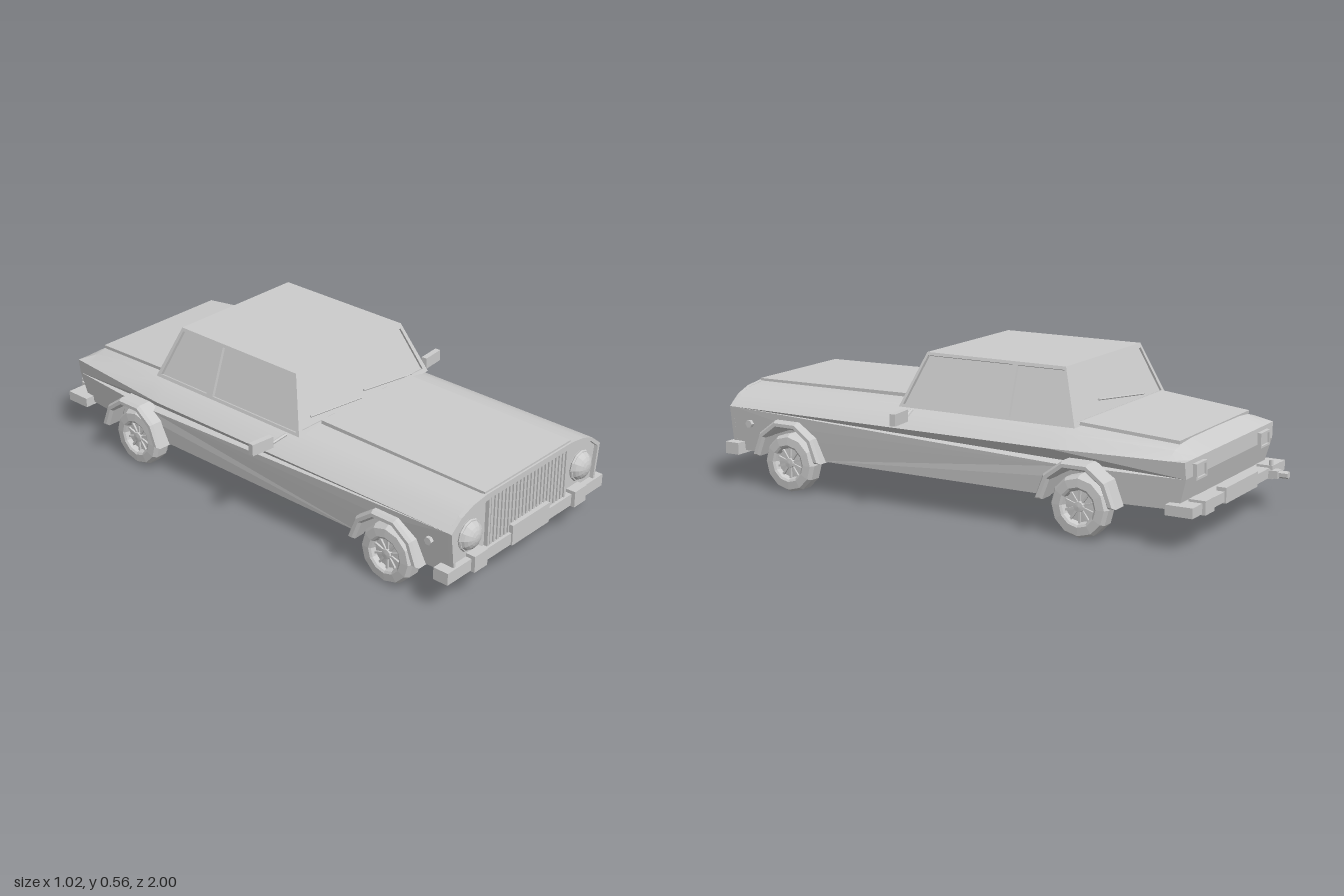
import * as THREE from 'three';
import { toCreasedNormals } from 'three/addons/utils/BufferGeometryUtils.js';

const mat = new THREE.MeshStandardMaterial({ color: 0xcccccc });
const flat = new THREE.MeshStandardMaterial({ color: 0xcccccc, flatShading: true });
const V = (x, y, z) => new THREE.Vector3(x, y, z);

export function createModel() {
  const car = new THREE.Group();
  car.name = 'car';

  const add = (name, geo, material = flat, parent = car) => {
    const m = new THREE.Mesh(geo, material);
    m.name = name;
    parent.add(m);
    return m;
  };
  const box = (name, x0, x1, y0, y1, z0, z1, parent = car) => {
    const m = add(name, new THREE.BoxGeometry(x1 - x0, y1 - y0, z1 - z0), flat, parent);
    m.position.set((x0 + x1) / 2, (y0 + y1) / 2, (z0 + z1) / 2);
    return m;
  };
  // thin bar between two points
  const bar = (name, a, b, r) => {
    const m = add(name, new THREE.CylinderGeometry(r, r, a.distanceTo(b), 6));
    m.position.copy(a).lerp(b, 0.5);
    m.quaternion.setFromUnitVectors(V(0, 1, 0), b.clone().sub(a).normalize());
  };
  const shapeOf = pts => new THREE.Shape(pts.map(p => new THREE.Vector2(p[0], p[1])));
  const trisToGeo = pts => {
    const g = new THREE.BufferGeometry().setFromPoints(pts);
    g.computeVertexNormals();
    return g;
  };

  const wheels = [{ z: 0.7, out: 0.442 }, { z: -0.52, out: 0.455 }];
  // half width of the body, narrowing towards the tail
  const halfWidth = z => z > -0.4 ? 0.418 : 0.418 - 0.045 * (-0.4 - z) / 0.48;
  // arch outline from front foot to rear foot
  const arch = (z, k = 1) => [[0.125, 0.13], [0.098, 0.2], [0.04, 0.243], [-0.04, 0.243], [-0.098, 0.2], [-0.125, 0.13]]
    .map(([a, y]) => [z + a * k, 0.13 + (y - 0.13) * k]);

  // lower body: side profile with wheel wells, tapered in width
  const lower = new THREE.ExtrudeGeometry(shapeOf([
    [0.957, 0.13], ...arch(0.7), ...arch(-0.52), [-0.86, 0.13], [-0.89, 0.24], [-0.888, 0.298],
    [-0.83, 0.298], [-0.4, 0.298], [0.957, 0.298]]), { depth: 2, bevelEnabled: false });
  lower.rotateY(-Math.PI / 2).translate(1, 0, 0);
  const lp = lower.attributes.position;
  for (let i = 0; i < lp.count; i++) {
    const taper = 0.022 * (0.298 - lp.getY(i)) / 0.168;
    lp.setX(i, lp.getX(i) * (halfWidth(lp.getZ(i)) - taper));
  }
  lower.computeVertexNormals();
  add('lowerBody', lower);

  // upper body: rounded shoulders lofted from nose to tail
  const halfSection = [[0, 0], [0.05, 0.56], [0.108, 0.85], [0.18, 0.97]];
  const sections = [[0.957, 0.37], [0.24, 0.376], [-0.4, 0.376], [-0.47, 0.375], [-0.83, 0.344], [-0.888, 0.298]]
    .map(([z, top]) => {
      const half = halfSection.map(([dx, f]) => V(halfWidth(z) - dx, 0.298 + f * (top - 0.298), z));
      return [...half, V(0, top, z), ...half.map(p => V(-p.x, p.y, z)).reverse()];
    });
  const upper = [];
  for (let i = 0; i < sections.length - 1; i++)
    for (let j = 0; j < sections[i].length - 1; j++) {
      const a = sections[i][j], b = sections[i + 1][j], c = sections[i + 1][j + 1], d = sections[i][j + 1];
      upper.push(a, b, c, a, c, d);
    }
  for (let j = 1; j < sections[0].length - 1; j++) upper.push(sections[0][0], sections[0][j], sections[0][j + 1]);
  add('upperBody', toCreasedNormals(trisToGeo(upper), 0.45), mat);

  // bonnet and boot lid panels
  const hood = box('bonnet', -0.24, 0.24, 0.366, 0.382, 0.25, 0.965);
  hood.rotation.x = 0.014;
  const lid = box('bootLid', -0.32, 0.32, 0.352, 0.364, -0.83, -0.47);
  lid.rotation.x = -0.086;
  const bp = lid.geometry.attributes.position;
  for (let i = 0; i < bp.count; i++) if (bp.getZ(i) < 0) bp.setX(i, bp.getX(i) * 0.9);

  // nose frame with openings for the lamps and grille
  const nose = shapeOf([[-0.397, 0.135], [0.397, 0.135], [0.418, 0.298], [0.368, 0.338], [0.31, 0.36], [0.238, 0.37],
    [-0.238, 0.37], [-0.31, 0.36], [-0.368, 0.338], [-0.418, 0.298]]);
  nose.holes.push(shapeOf([[-0.212, 0.16], [0.212, 0.16], [0.212, 0.348], [-0.212, 0.348]]));
  for (const s of [1, -1])
    nose.holes.push(shapeOf([[0.222, 0.16], [0.39, 0.16], [0.406, 0.29], [0.36, 0.327], [0.3, 0.345], [0.222, 0.345]]
      .map(([x, y]) => [s * x, y])));
  add('noseFrame', new THREE.ExtrudeGeometry(nose, { depth: 0.016, bevelEnabled: false })).position.z = 0.956;
  for (let i = 0; i < 21; i++) {
    const x = -0.2 + i * 0.02;
    box('grilleSlat', x - 0.006, x + 0.006, 0.16, 0.348, 0.955, 0.97);
  }

  // cabin faces: frame, recess and window from four corners seen from outside
  const windowPanel = (name, corners, margin, depth) => {
    const [a, b, c, d] = corners;
    const n = b.clone().sub(a).cross(d.clone().sub(a)).normalize();
    const mu = margin / a.distanceTo(b), mv = margin / a.distanceTo(d);
    const at = (u, v) => a.clone().lerp(b, u).lerp(d.clone().lerp(c, u), v);
    const inner = [at(mu, mv), at(1 - mu, mv), at(1 - mu, 1 - mv), at(mu, 1 - mv)];
    const loops = [corners, inner, inner.map(p => p.clone().addScaledVector(n, -depth))];
    const pts = [];
    for (let k = 0; k < 2; k++)
      for (let i = 0; i < 4; i++) {
        const j = (i + 1) % 4;
        pts.push(loops[k][i], loops[k][j], loops[k + 1][j], loops[k][i], loops[k + 1][j], loops[k + 1][i]);
      }
    const g = loops[2];
    pts.push(g[0], g[1], g[2], g[0], g[2], g[3]);
    add(name, trisToGeo(pts));
  };
  const yb = 0.362, yt = 0.556;
  const base = (s, z) => V(s * 0.352, yb, z), roof = (s, z) => V(s * 0.282, yt, z);
  const zf = 0.248, zr = -0.468, tf = 0.17, tr = -0.395, pillar = -0.195;
  windowPanel('windscreen', [base(-1, zf), base(1, zf), roof(1, tf), roof(-1, tf)], 0.018, 0.008);
  windowPanel('rearWindow', [base(1, zr), base(-1, zr), roof(-1, tr), roof(1, tr)], 0.018, 0.008);
  for (const s of [1, -1]) {
    const sides = [[base(s, zf), base(s, pillar), roof(s, pillar), roof(s, tf)],
      [base(s, pillar), base(s, zr), roof(s, tr), roof(s, pillar)]];
    sides.forEach((q, i) => windowPanel(i ? 'rearSideWindow' : 'frontSideWindow', s > 0 ? q : q.reverse(), 0.012, 0.012));
  }
  const r = [roof(-1, tf), roof(1, tf), roof(1, tr), roof(-1, tr)];
  add('roof', trisToGeo([r[0], r[1], r[2], r[0], r[2], r[3]]));

  // wipers
  bar('wiper', V(-0.28, 0.412, 0.236), V(-0.02, 0.392, 0.246), 0.004);
  bar('wiper', V(0, 0.41, 0.237), V(0.255, 0.386, 0.248), 0.004);
  bar('rearWiper', V(0.15, 0.425, -0.452), V(-0.17, 0.392, -0.466), 0.004);

  // bumpers with overriders and plates
  box('frontBumper', -0.44, 0.44, 0.12, 0.165, 0.92, 0.98);
  box('frontPlate', -0.1, 0.11, 0.118, 0.195, 0.965, 0.986);
  box('rearBumper', -0.395, 0.395, 0.12, 0.156, -0.93, -0.83);
  box('rearPlate', -0.13, 0.14, 0.115, 0.17, -0.936, -0.9);
  for (const s of [1, -1]) {
    box('frontOverrider', s * 0.283 - 0.034, s * 0.283 + 0.034, 0.117, 0.178, 0.93, 0.995);
    box('rearOverrider', s * 0.285 - 0.035, s * 0.285 + 0.035, 0.116, 0.165, -0.942, -0.88);
  }

  // tow hitch with ball
  box('hitchArm', -0.28, -0.24, 0.122, 0.15, -0.965, -0.92);
  bar('hitchBar', V(-0.26, 0.136, -0.96), V(-0.26, 0.136, -1), 0.014);
  bar('hitchPost', V(-0.26, 0.14, -0.932), V(-0.26, 0.185, -0.932), 0.008);

  for (const s of [1, -1]) {
    // lamps
    const lamp = add('headlamp', new THREE.SphereGeometry(0.055, 12, 6, 0, Math.PI * 2, 0, Math.PI / 2));
    lamp.rotation.x = Math.PI / 2;
    lamp.scale.y = 0.75;
    lamp.position.set(s * 0.312, 0.248, 0.958);
    const rim = add('headlampRim', new THREE.TorusGeometry(0.053, 0.006, 6, 12));
    rim.position.set(s * 0.312, 0.248, 0.965);
    const tail = new THREE.Group();
    tail.name = 'tailLamp';
    car.add(tail);
    box('lampLens', s * 0.27 - 0.034, s * 0.27 + 0.034, 0.235, 0.275, -0.897, -0.88, tail);
    for (const k of [-1, 1]) {
      box('lampTrim', s * 0.27 - 0.042, s * 0.27 + 0.042, 0.255 + k * 0.024 - 0.004, 0.255 + k * 0.024 + 0.004, -0.904, -0.88, tail);
      const x = s * 0.27 + k * 0.038;
      box('lampTrim', x - 0.004, x + 0.004, 0.231, 0.279, -0.904, -0.88, tail);
    }
    bar('sideIndicator', V(s * 0.4, 0.24, 0.88), V(s * 0.425, 0.24, 0.88), 0.015);

    // door mirrors
    bar('mirrorStalk', V(s * 0.355, 0.355, 0.19), V(s * 0.425, 0.335, 0.175), 0.006);
    box('mirror', s * 0.463 - 0.047, s * 0.463 + 0.047, 0.327, 0.37, 0.162, 0.184).rotation.y = s * 0.1;

    for (const w of wheels) {
      // wheel arch flare
      const ring = [...arch(w.z, 1.2), ...arch(w.z, 1.02).reverse()];
      const depth = w.out - 0.385 - 0.012;
      const flare = new THREE.ExtrudeGeometry(shapeOf(ring),
        { depth, bevelThickness: 0.012, bevelSize: 0.008, bevelOffset: -0.004, bevelSegments: 1 });
      flare.rotateY(-Math.PI / 2).translate(depth / 2, 0, 0);
      add('wheelArch', flare).position.x = s * (0.385 + depth / 2);

      // wheel: tyre, dished rim, hub and spokes
      const wheel = new THREE.Group();
      wheel.name = 'wheel';
      wheel.position.set(s * 0.385, 0.11, w.z);
      car.add(wheel);
      const half = [[0.11, 0.022], [0.1, 0.038], [0.07, 0.041], [0.062, 0.036], [0.056, 0.018], [0.02, 0.02], [0.018, 0.032], [0, 0.034]];
      const profile = [...half.map(([x, y]) => [x, -y]).reverse(), ...half].map(p => new THREE.Vector2(...p));
      add('tyreAndRim', new THREE.LatheGeometry(profile, 12).rotateZ(-Math.PI / 2), flat, wheel);
      for (let i = 0; i < 10; i++) {
        const spoke = new THREE.BoxGeometry(0.008, 0.042, 0.008).translate(s * 0.022, 0.038, 0);
        add('spoke', spoke.rotateX(i * Math.PI / 5), flat, wheel);
      }
    }
  }
  return car;
}
